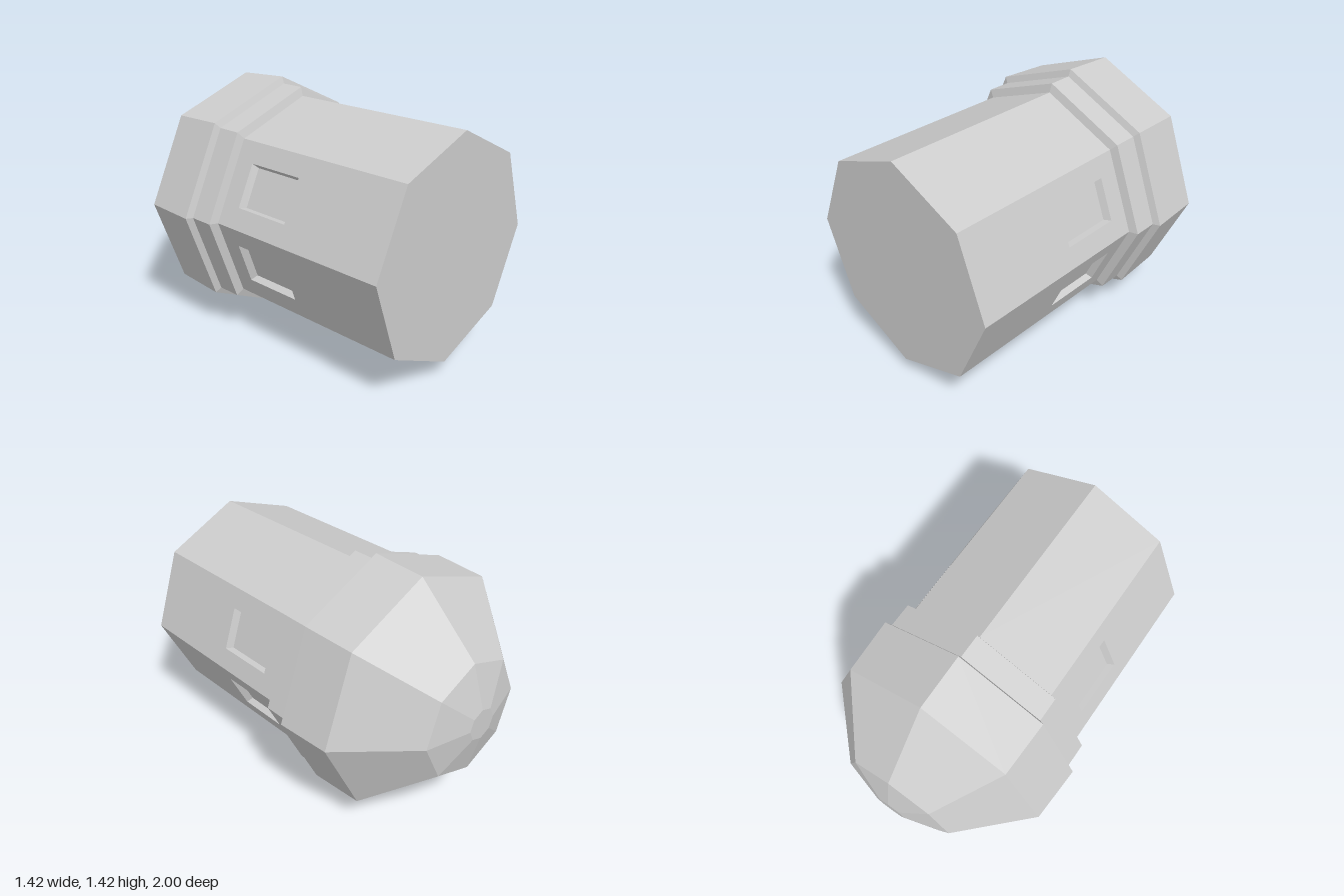
import * as THREE from 'three';

const SIDES = 8, STEP = Math.PI / 4, TWIST = THREE.MathUtils.degToRad(-2.7);
const CENTER_Y = 0.713;
const BODY_R = 0.623, FRONT = 1, BODY_BACK = -0.095;
const WIN = { z: 0.193, w: 0.122, h: 0.172, innerW: 0.11, innerH: 0.152, depth: 0.036 };

// corners of a rectangle, counter-clockwise
const rect = (w, h, cy, z) =>
  [[-w, -h], [w, -h], [w, h], [-w, h]].map(([x, y]) => new THREE.Vector3(x, cy + y, z));

// one flat side of the shaft, optionally with a window opening
function panelGeometry(hasWindow) {
  const half = BODY_R * Math.sin(STEP / 2);
  const mid = (FRONT + BODY_BACK) / 2;
  const shape = new THREE.Shape(rect(half, (FRONT - BODY_BACK) / 2, mid, 0));
  if (hasWindow) shape.holes.push(new THREE.Path(rect(WIN.w, WIN.h, WIN.z, 0)));
  return new THREE.ShapeGeometry(shape);
}

// tapered window recess: four sloping walls and a floor
function recessGeometry() {
  const o = rect(WIN.w, WIN.h, WIN.z, 0);
  const n = rect(WIN.innerW, WIN.innerH, WIN.z, -WIN.depth);
  const points = [];
  const quad = (a, b, c, d) => points.push(a, b, c, a, c, d);
  for (let i = 0; i < 4; i++) {
    const j = (i + 1) % 4;
    quad(o[i], o[j], n[j], n[i]);
  }
  quad(...n);
  const g = new THREE.BufferGeometry().setFromPoints(points);
  g.computeVertexNormals();
  return g;
}

// eight-sided ring from [radius, z] pairs, running front to back
function ringGeometry(profile) {
  const pts = profile.map(([r, z]) => new THREE.Vector2(r, -z));
  return new THREE.LatheGeometry(pts, SIDES, -TWIST).rotateX(-Math.PI / 2);
}

export function createModel() {
  const group = new THREE.Group();
  const grey = new THREE.MeshStandardMaterial({ color: 0xcccccc, flatShading: true });
  grey.name = 'light grey';
  const add = (name, geometry, parent = group) => {
    const mesh = new THREE.Mesh(geometry, grey);
    mesh.name = name;
    parent.add(mesh);
    return mesh;
  };

  // shaft sides; the two upper ones have no window
  const apothem = BODY_R * Math.cos(STEP / 2);
  for (let i = 0; i < SIDES; i++) {
    const a = TWIST + (i + 0.5) * STEP;
    const hasWindow = i !== 1 && i !== 2;
    const side = new THREE.Group();
    side.name = 'shaftSide' + i;
    const normal = new THREE.Vector3(Math.cos(a), Math.sin(a), 0);
    const tangent = new THREE.Vector3(-Math.sin(a), Math.cos(a), 0);
    side.quaternion.setFromRotationMatrix(
      new THREE.Matrix4().makeBasis(tangent, new THREE.Vector3(0, 0, 1), normal));
    side.position.copy(normal).multiplyScalar(apothem);
    add('shaftPanel', panelGeometry(hasWindow), side);
    if (hasWindow) add('windowRecess', recessGeometry(), side);
    group.add(side);
  }

  // flat front end
  add('frontCap', new THREE.CircleGeometry(BODY_R, SIDES, TWIST)).position.z = FRONT;

  // collar, head band and faceted dome
  add('collar', ringGeometry([[BODY_R, BODY_BACK], [0.672, -0.11], [0.672, -0.25]]));
  add('headBand', ringGeometry([[0.672, -0.25], [0.711, -0.265], [0.695, -0.58]]));
  add('dome', ringGeometry([[0.695, -0.58], [0.343, -0.93], [0.092, -1], [0, -1]]));

  group.children.forEach((part) => { part.position.y += CENTER_Y; });
  return group;
}
